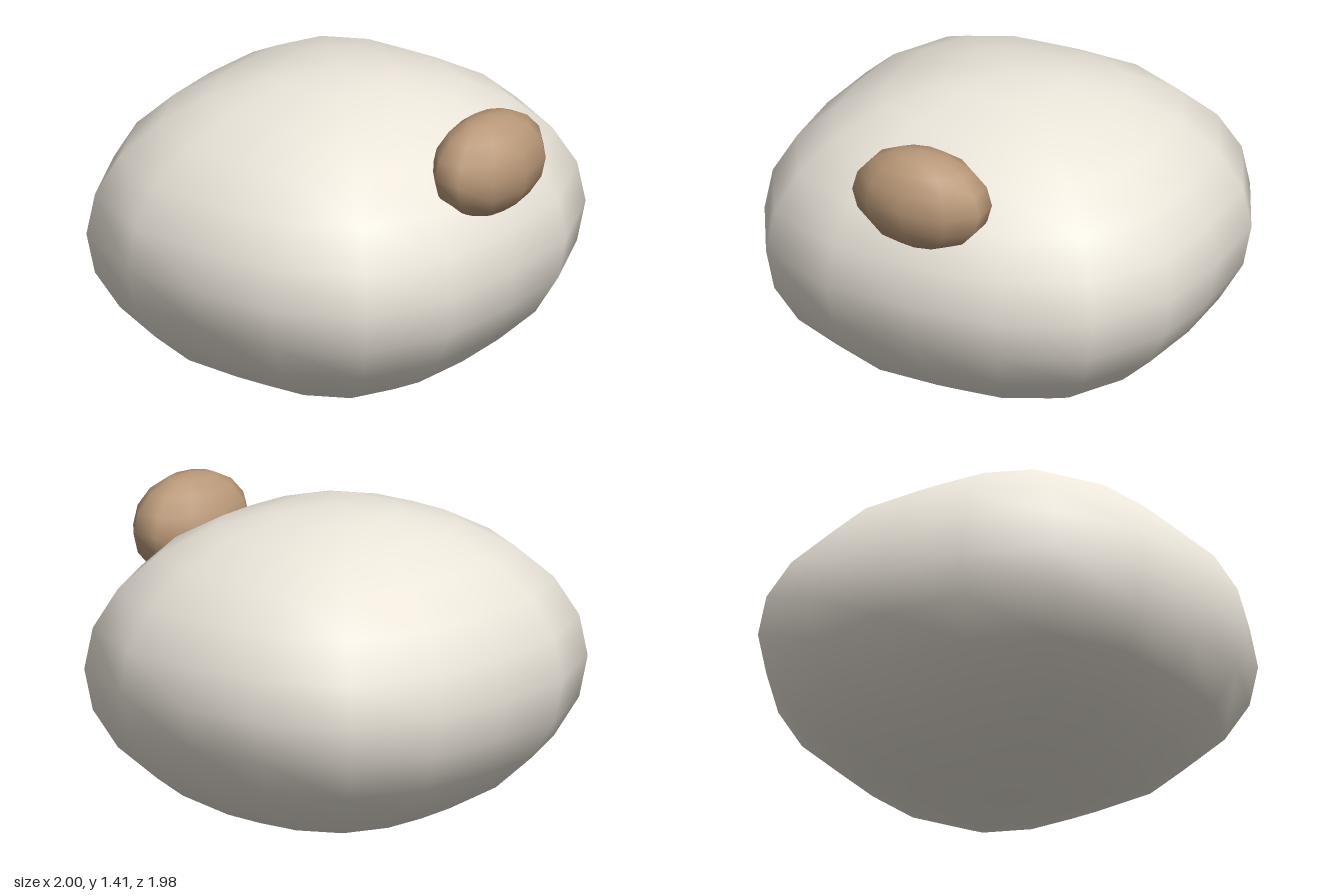
import * as THREE from 'three';
import { mergeVertices } from 'three/addons/utils/BufferGeometryUtils.js';

// Smooth ellipsoid whose plan bulges toward its four corners by the given fraction
function ellipsoid(segments, rings, radii, bulge = 0, turn = 0) {
  const geo = new THREE.SphereGeometry(1, segments, rings).rotateY(turn);
  geo.deleteAttribute('uv');
  geo.deleteAttribute('normal');
  const pos = geo.attributes.position;
  for (let i = 0; i < pos.count; i++) {
    const x = pos.getX(i), z = pos.getZ(i);
    const k = 1 + bulge * Math.sin(2 * Math.atan2(z, x)) ** 2;
    pos.setXYZ(i, x * k * radii[0], pos.getY(i) * radii[1], z * k * radii[2]);
  }
  const merged = mergeVertices(geo, 1e-4);
  merged.computeVertexNormals();
  return merged;
}

function addPart(group, name, geometry, color, position) {
  const mesh = new THREE.Mesh(geometry, new THREE.MeshStandardMaterial({ color }));
  mesh.name = name;
  mesh.position.set(...position);
  group.add(mesh);
}

export function createModel() {
  const group = new THREE.Group();
  group.name = 'roundHead';

  // Broad head, rounded-square from above and elliptical from the sides
  addPart(group, 'head', ellipsoid(16, 12, [1, 0.706, 0.955], 0.11), 0xebe5da, [0, 0.706, -0.037]);

  // Small oval nose set into the upper front
  addPart(group, 'nose', ellipsoid(10, 8, [0.32, 0.225, 0.202], 0, Math.PI / 2), 0xb99878, [0, 1.18, 0.783]);

  return group;
}
